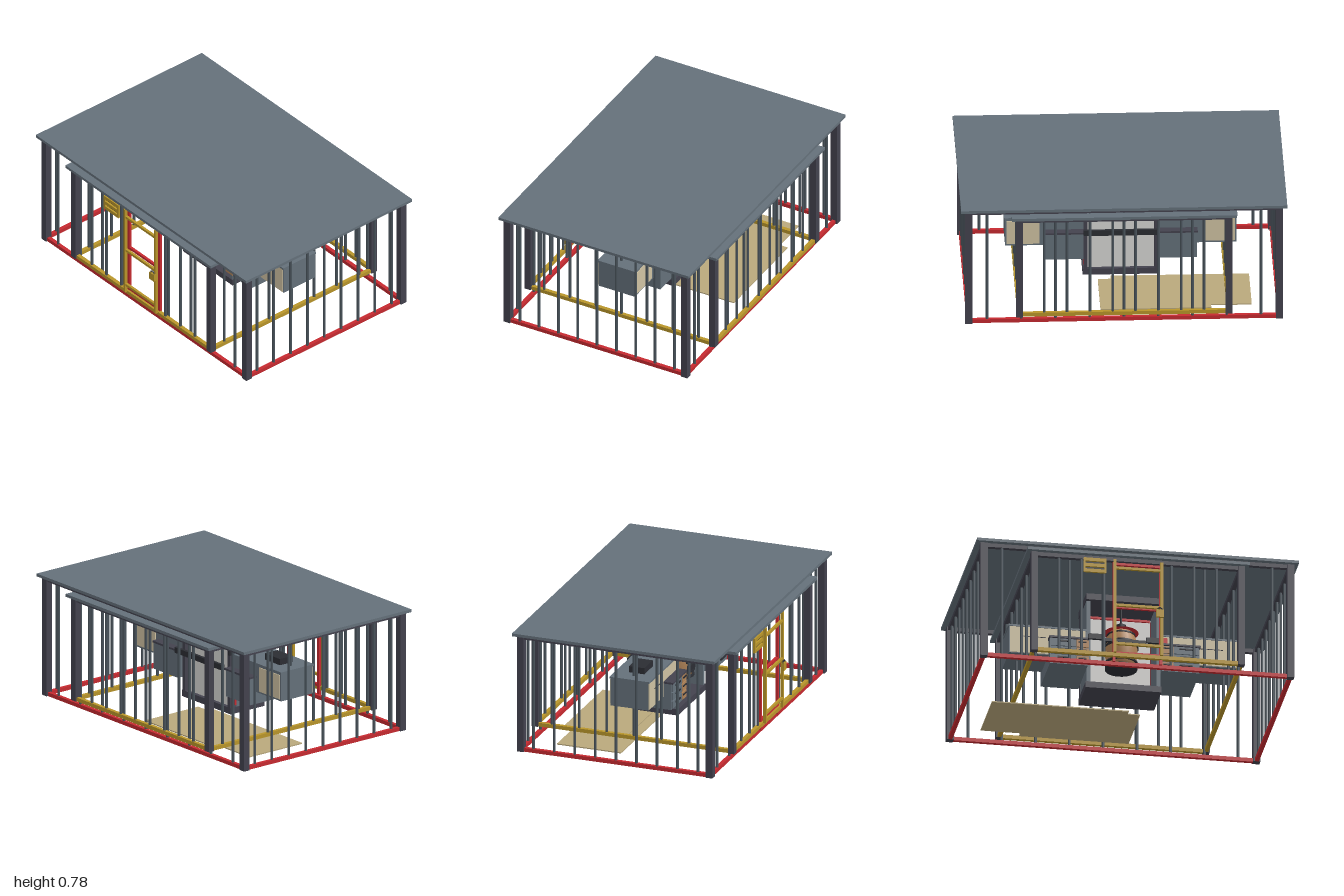
import * as THREE from 'three';

export function createModel() {
  const model = new THREE.Group();
  const mat = (name, color) => {
    const m = new THREE.MeshStandardMaterial({ color });
    m.name = name;
    return m;
  };
  const slate = mat('slate', 0x64707a);
  const iron = mat('darkIron', 0x43424e);
  const steel = mat('barSteel', 0x4a545c);
  const red = mat('red', 0xc62a30);
  const yellow = mat('yellow', 0xb8952a);
  const beige = mat('beige', 0xcfc2a2);
  const tan = mat('tan', 0xb9a87c);
  const brown = mat('brown', 0xb08358);
  const light = mat('lightGrey', 0xd6d5d3);
  const black = mat('black', 0x2b2d33);

  // Box given by its limits on each axis
  function box(name, m, x0, x1, y0, y1, z0, z1, parent = model) {
    const mesh = new THREE.Mesh(new THREE.BoxGeometry(x1 - x0, y1 - y0, z1 - z0), m);
    mesh.position.set((x0 + x1) / 2, (y0 + y1) / 2, (z0 + z1) / 2);
    mesh.name = name;
    parent.add(mesh);
    return mesh;
  }
  function rod(name, m, r, x, y0, y1, z, parent = model, sides = 10, rTop = r) {
    const mesh = new THREE.Mesh(new THREE.CylinderGeometry(rTop, r, y1 - y0, sides), m);
    mesh.position.set(x, (y0 + y1) / 2, z);
    mesh.name = name;
    parent.add(mesh);
    return mesh;
  }

  // A barred cage: roof, corner posts, rails and bars
  function cage(name, c) {
    const g = new THREE.Group();
    g.name = name;
    model.add(g);
    const { px, pz, w, y0, y1, rail } = c;
    box('roof', slate, -c.rx, c.rx, y1, y1 + 0.018, -c.rz, c.rz, g);
    for (const s of [-1, 1]) {
      for (const t of [-1, 1])
        box('cornerPost', iron, s * px - w, s * px + w, y0, y1, t * pz - w, t * pz + w, g);
      box('bottomRail', rail, -px + w, px - w, y0, y0 + 0.024, s * pz - 0.012, s * pz + 0.012, g);
      box('bottomRail', rail, s * px - 0.012, s * px + 0.012, y0, y0 + 0.024, -pz + w, pz - w, g);
      box('topRail', iron, -px + w, px - w, y1 - 0.025, y1, s * pz - 0.014, s * pz + 0.014, g);
      box('topRail', iron, s * px - 0.014, s * px + 0.014, y1 - 0.025, y1, -pz + w, pz - w, g);
      for (const x of c.barsX)
        if (s < 0 || Math.abs(x) > 0.16) rod('bar', steel, 0.009, x, y0 + 0.02, y1 - 0.02, s * pz, g);
      for (const z of c.barsZ) rod('bar', steel, 0.009, s * px, y0 + 0.02, y1 - 0.02, z, g);
    }
  }
  const row = (n, step, off = 0) => Array.from({ length: n }, (_, i) => (i - (n - 1) / 2) * step + off);
  cage('outerCage', { rx: 1, rz: 0.665, px: 0.953, pz: 0.62, w: 0.022, y0: 0, y1: 0.762,
    rail: red, barsX: row(9, 0.21), barsZ: row(9, 0.135) });
  cage('innerCage', { rx: 0.69, rz: 0.69, px: 0.643, pz: 0.645, w: 0.021, y0: 0.05, y1: 0.715,
    rail: yellow, barsX: row(8, 0.14), barsZ: row(7, 0.18) });

  // Front gates, one for each cage
  function gate(name, m, z, y0, y1, crossbars) {
    const g = new THREE.Group();
    g.name = name;
    model.add(g);
    for (const s of [-1, 1]) box('gateUpright', m, s * 0.145 - 0.009, s * 0.145 + 0.009, y0, y1, z - 0.009, z + 0.009, g);
    for (const y of crossbars) box('gateCrossbar', m, -0.145, 0.145, y - 0.008, y + 0.008, z - 0.008, z + 0.008, g);
  }
  gate('redGate', red, 0.635, 0.02, 0.7, [0.08, 0.39, 0.68]);
  gate('yellowGate', yellow, 0.668, 0.07, 0.695, [0.13, 0.39, 0.64]);

  // Padlock
  box('padlockBody', yellow, 0.11, 0.155, 0.32, 0.37, 0.677, 0.692);
  const shackle = new THREE.Mesh(new THREE.TorusGeometry(0.015, 0.004, 6, 12, Math.PI), black);
  shackle.position.set(0.132, 0.37, 0.684);
  shackle.name = 'padlockShackle';
  model.add(shackle);

  // Slatted sign beside the gate
  box('signBoard', black, -0.33, -0.21, 0.605, 0.685, 0.662, 0.666);
  for (const y of [0.608, 0.645, 0.682]) box('signSlat', yellow, -0.34, -0.2, y - 0.011, y + 0.011, 0.666, 0.678);
  for (const x of [-0.335, -0.205]) box('signEdge', yellow, x - 0.006, x + 0.006, 0.6, 0.69, 0.664, 0.678);

  // Central cabinet, open at the front
  box('cabinetBase', iron, -0.235, 0.235, 0.075, 0.115, -0.14, 0.13);
  box('cabinetTop', iron, -0.235, 0.235, 0.66, 0.7, -0.14, 0.15);
  box('cabinetBack', light, -0.21, 0.21, 0.115, 0.66, -0.115, -0.1);
  box('backSlot', black, -0.13, 0.13, 0.59, 0.62, -0.12, -0.115);
  for (const y of [0.12, 0.652]) box('redTrim', red, -0.2, 0.2, y - 0.007, y + 0.007, -0.1, -0.088);
  for (const s of [-1, 1]) {
    const [a, b] = s > 0 ? [0.205, 0.23] : [-0.23, -0.205];
    box('cabinetSide', slate, a, b, 0.115, 0.66, -0.09, 0.125);
    box('redTrim', red, a, b, 0.125, 0.65, -0.1, -0.09);
    box('backPost', iron, a, b, 0.115, 0.66, -0.14, -0.118);
    box('sideHandle', black, s * 0.24 - 0.008, s * 0.24 + 0.008, 0.46, 0.59, -0.16, -0.14);
  }

  // Lantern in the cabinet
  const lantern = new THREE.Group();
  lantern.name = 'lantern';
  lantern.position.z = 0.04;
  model.add(lantern);
  const profile = [[0, 0.26], [0.085, 0.26], [0.095, 0.3], [0.1, 0.36], [0.1, 0.41], [0.09, 0.46], [0.07, 0.5], [0, 0.5]];
  const body = new THREE.Mesh(new THREE.LatheGeometry(profile.map(p => new THREE.Vector2(...p)), 24), brown);
  body.name = 'lanternBody';
  lantern.add(body);
  for (const [y, r] of [[0.255, 0.1], [0.29, 0.103], [0.395, 0.108], [0.415, 0.105], [0.475, 0.09]])
    rod('lanternBand', black, r, 0, y - 0.005, y + 0.005, 0, lantern, 24);
  rod('lanternRoof', red, 0.108, 0, 0.495, 0.52, 0, lantern, 24, 0.05);
  rod('lanternFinial', black, 0.03, 0, 0.52, 0.55, 0, lantern, 12);
  rod('lanternHanger', black, 0.006, 0, 0.55, 0.66, 0, lantern);
  box('lanternYoke', black, -0.135, 0.135, 0.38, 0.4, 0.145, 0.165);

  // Side wings, drawer chests and rims
  for (const s of [-1, 1]) {
    const side = new THREE.Group();
    side.name = s > 0 ? 'leftSide' : 'rightSide';
    model.add(side);
    const part = (name, m, x0, x1, ...rest) => (s > 0 ? box(name, m, x0, x1, ...rest, side) : box(name, m, -x1, -x0, ...rest, side));
    part('wing', slate, 0.23, 0.71, 0.278, 0.455, -0.13, 0.12);
    part('wingTop', slate, 0.23, 0.715, 0.455, 0.467, -0.135, 0.127);
    part('wingFront', beige, 0.235, 0.705, 0.282, 0.454, 0.12, 0.125);
    part('wingBackPanel', beige, 0.5, 0.7, 0.29, 0.445, -0.135, -0.13);
    part('wingSeam', black, 0.48, 0.62, 0.388, 0.393, 0.125, 0.127);
    part('drawerChest', slate, 0.23, 0.465, 0.2, 0.37, -0.175, 0.175);
    part('chestTop', iron, 0.225, 0.47, 0.37, 0.382, -0.182, 0.188);
    for (let i = 0; i < 3; i++) {
      const y = 0.208 + i * 0.055;
      part('drawerFront', slate, 0.305, 0.46, y, y + 0.048, 0.175, 0.184);
      part('drawerEnd', brown, 0.225, 0.3, y, y + 0.048, 0.175, 0.184);
      part('drawerHandle', black, 0.34, 0.42, y + 0.028, y + 0.036, 0.184, 0.192);
      part('drawerHandle', black, 0.24, 0.29, y + 0.028, y + 0.036, 0.184, 0.19);
    }
    part('rim', black, 0.13, 0.23, 0.37, 0.405, 0.188, 0.206);
    part('rim', black, 0.13, 0.23, 0.37, 0.405, -0.205, -0.185);
  }
  box('rearRim', black, -0.13, 0.13, 0.37, 0.405, -0.205, -0.185);
  box('redTab', red, 0.235, 0.265, 0.382, 0.425, 0.13, 0.17);
  box('topBox', black, -0.6, -0.455, 0.467, 0.507, -0.05, 0.05);

  // Loose boards on the floor
  box('floorBoard', tan, -0.79, 0.06, 0.004, 0.011, -0.45, -0.03);
  box('floorBoard', tan, -0.54, 0.14, 0.013, 0.02, -0.51, -0.09);
  return model;
}
